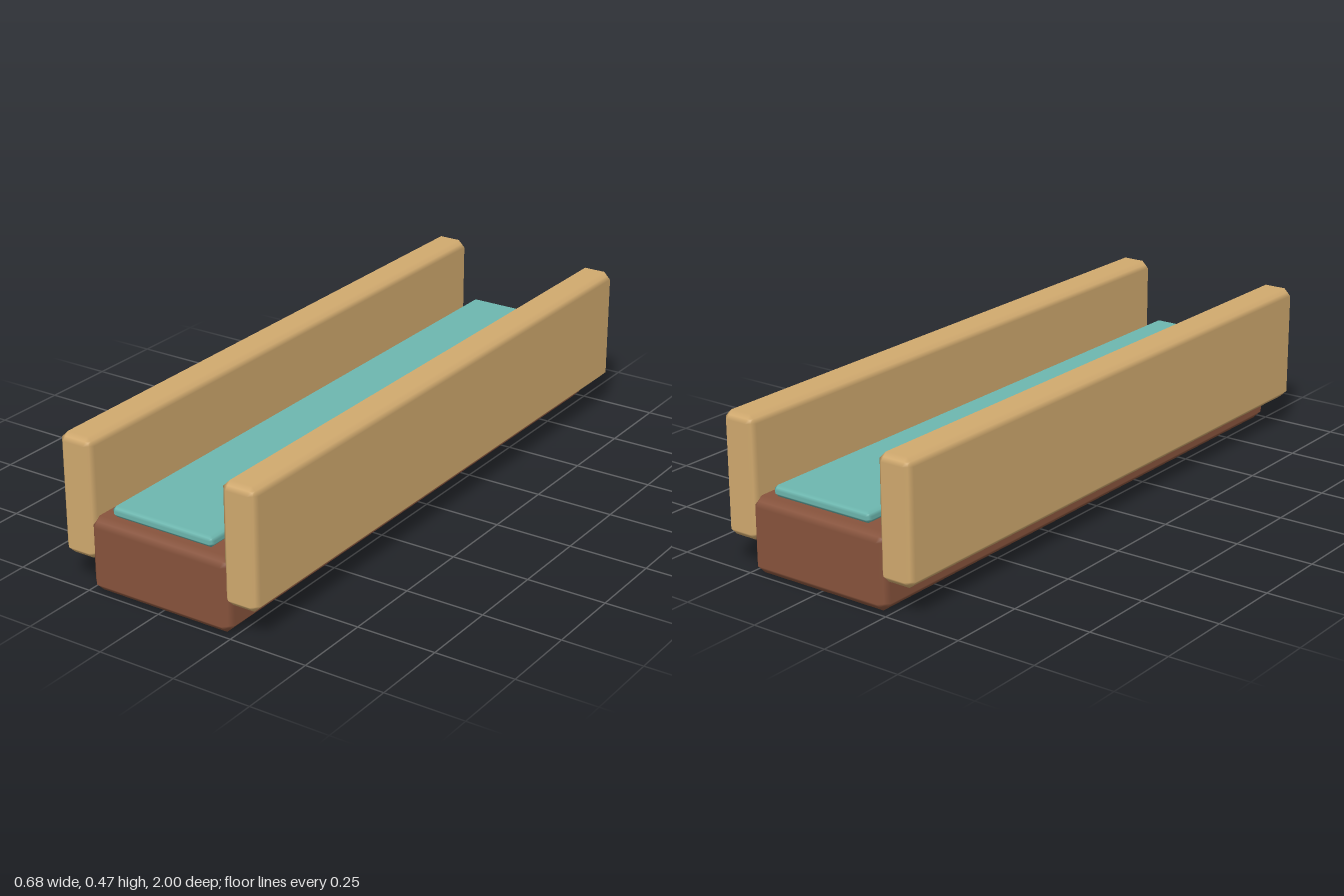
import * as THREE from 'three';

const wood = new THREE.MeshStandardMaterial({ name: 'tan', color: 0xd0a96e });
const brown = new THREE.MeshStandardMaterial({ name: 'brown', color: 0x87533c });
const teal = new THREE.MeshStandardMaterial({ name: 'teal', color: 0x6cb6ae });

// Box with single chamfers on all edges, shaded softly across each chamfer
function chamferBox(w, h, d, c) {
  const geo = new THREE.BoxGeometry(2, 2, 2, 3, 3, 3);
  const pos = geo.attributes.position;
  const half = [w / 2, h / 2, d / 2];
  for (let i = 0; i < pos.count; i++) {
    const p = [pos.getX(i), pos.getY(i), pos.getZ(i)];
    const outer = p.map((v) => (Math.abs(v) > 0.9 ? Math.sign(v) : 0));
    const n = outer.filter((v) => v !== 0).length;
    const q = p.map((v, k) => Math.sign(v) * (half[k] - c) + (outer[k] * c) / n);
    pos.setXYZ(i, ...q);
    const normal = new THREE.Vector3(...outer).normalize();
    geo.attributes.normal.setXYZ(i, normal.x, normal.y, normal.z);
  }
  return geo;
}

function addPart(group, name, material, size, chamfer, x, y) {
  const mesh = new THREE.Mesh(chamferBox(...size, chamfer), material);
  mesh.name = name;
  mesh.position.set(x, y, 0);
  group.add(mesh);
}

export function createModel() {
  const group = new THREE.Group();
  group.name = 'channel';

  // Solid bed with a thin runner just above it
  addPart(group, 'base', brown, [0.493, 0.235, 2], 0.028, 0, 0.1175);
  addPart(group, 'runner', teal, [0.354, 0.035, 1.95], 0.013, 0, 0.2585);

  // Side walls
  for (const [name, s] of [['leftWall', 1], ['rightWall', -1]]) {
    addPart(group, name, wood, [0.117, 0.376, 2], 0.023, s * 0.281, 0.283);
  }
  return group;
}
